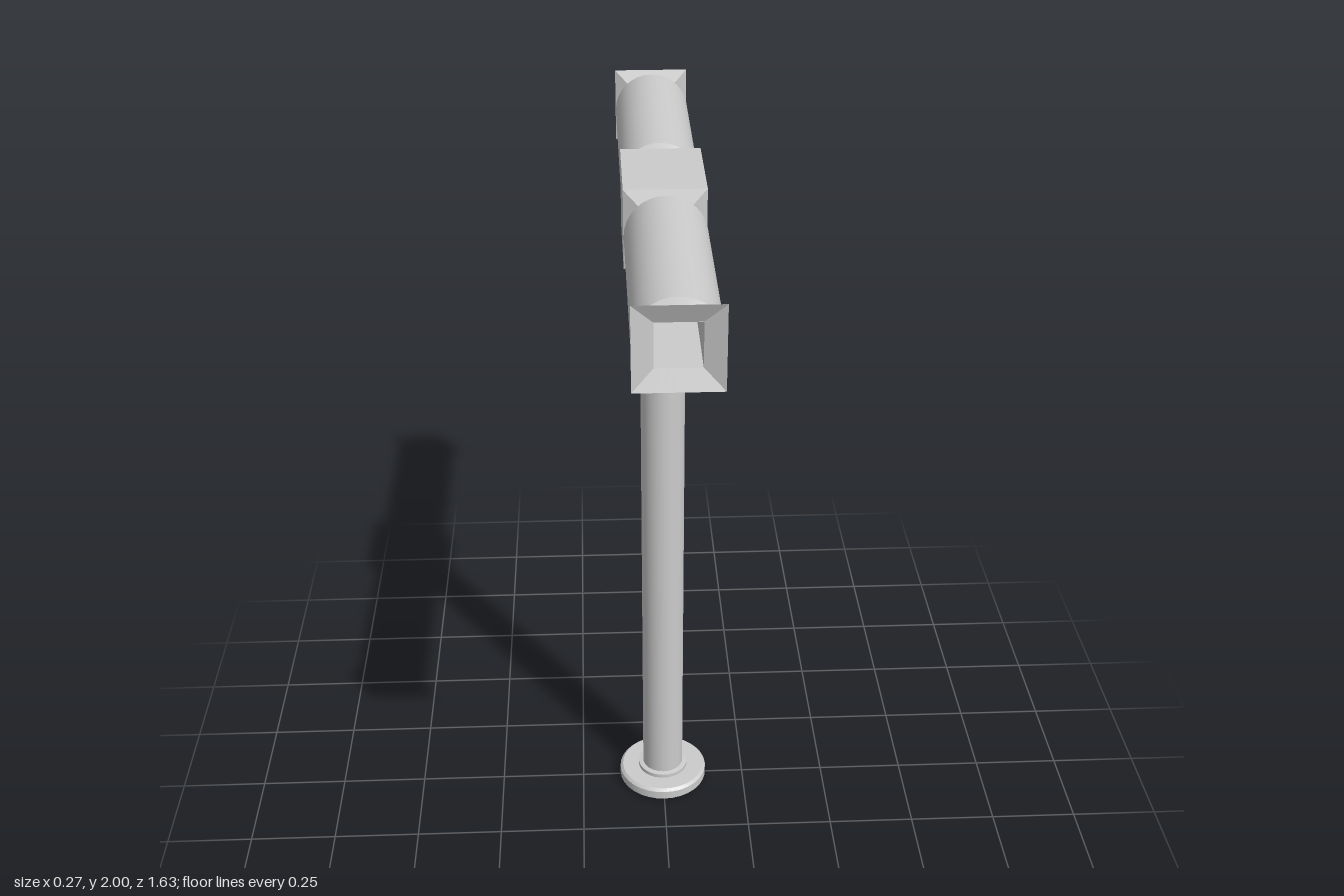
import * as THREE from 'three';
import { toCreasedNormals } from 'three/addons/utils/BufferGeometryUtils.js';

const AXIS_Y = 1.895; // height of the head's centre line
const TUNNEL = 0.055; // half width of the square bore
const HALF = 0.105; // half width of the head

const material = new THREE.MeshStandardMaterial({ color: 0xcccccc, side: THREE.DoubleSide });

// Skin rings running along z. Each section is [z, half size, squareness 0..1].
function loft(sections, sides = 32) {
  const positions = [];
  const indices = [];
  sections.forEach(([z, size, square]) => {
    for (let i = 0; i < sides; i++) {
      const a = (i / sides) * Math.PI * 2;
      const c = Math.cos(a);
      const s = Math.sin(a);
      const toSquare = 1 / Math.max(Math.abs(c), Math.abs(s));
      const r = size * (1 + (toSquare - 1) * square);
      positions.push(c * r, s * r, z);
    }
  });
  for (let k = 0; k < sections.length - 1; k++) {
    for (let i = 0; i < sides; i++) {
      const a = k * sides + i;
      const b = k * sides + ((i + 1) % sides);
      indices.push(a, b, b + sides, a, b + sides, a + sides);
    }
  }
  const geometry = new THREE.BufferGeometry();
  geometry.setAttribute('position', new THREE.Float32BufferAttribute(positions, 3));
  geometry.setIndex(indices);
  return toCreasedNormals(geometry, 0.5);
}

function addMesh(parent, name, geometry) {
  const mesh = new THREE.Mesh(geometry, material);
  mesh.name = name;
  parent.add(mesh);
  return mesh;
}

export function createModel() {
  const model = new THREE.Group();
  model.name = 'mallet';

  // Handle: base disc, small step, shaft and collar under the head
  const profile = [
    [0, 0], [0.12, 0], [0.133, 0.008], [0.133, 0.034], [0.125, 0.042],
    [0.075, 0.042], [0.075, 0.054], [0.061, 0.056],
    [0.061, 1.782], [0.085, 1.784], [0.085, 1.795], [0, 1.795],
  ].map(([r, y]) => new THREE.Vector2(r, y));
  addMesh(model, 'handle', toCreasedNormals(new THREE.LatheGeometry(profile, 32), 0.6));

  const head = new THREE.Group();
  head.name = 'head';
  head.position.y = AXIS_Y;
  model.add(head);

  // Square middle block, tapering to the necks
  addMesh(head, 'centreBlock', loft([
    [-0.165, TUNNEL, 1], [-0.145, HALF, 1], [0.145, HALF, 1], [0.165, TUNNEL, 1],
  ]));

  // Square bore through the whole head
  addMesh(head, 'bore', loft([[-0.795, TUNNEL, 1], [0.795, TUNNEL, 1]]));

  for (const side of [1, -1]) {
    const arm = new THREE.Group();
    arm.name = side > 0 ? 'frontArm' : 'backArm';
    arm.rotation.y = side > 0 ? 0 : Math.PI;
    head.add(arm);

    // Round barrel with bevelled ends
    addMesh(arm, 'barrel', loft([
      [0.167, TUNNEL, 1], [0.188, HALF, 0], [0.771, HALF, 0], [0.792, TUNNEL, 1],
    ]));

    // Thin square flare at the mouth
    addMesh(arm, 'flare', loft([[0.793, TUNNEL, 1], [0.814, HALF, 1]]));
  }

  return model;
}
